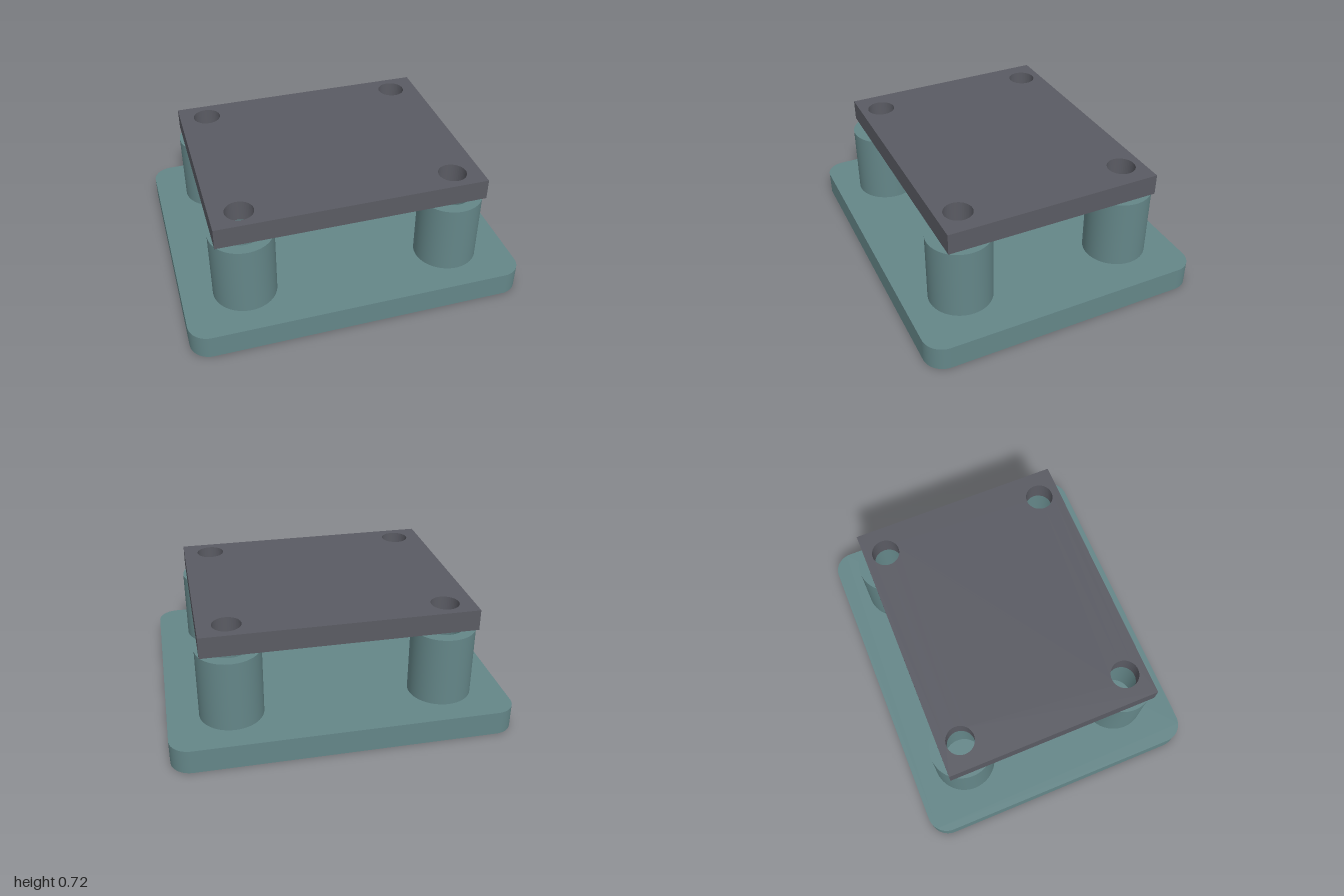
import * as THREE from 'three';

const POST_X = 0.627, POST_Z = 0.51;
const BASE_TOP = 0.145, POST_TOP = 0.573;
const PLATE_BOTTOM = 0.592, PLATE_TOP = 0.717;

// Rectangle outline centred on the origin, with optional rounded corners
function rectShape(hx, hz, r = 0) {
  const s = new THREE.Shape();
  if (r === 0) {
    return s.moveTo(-hx, -hz).lineTo(hx, -hz).lineTo(hx, hz).lineTo(-hx, hz).closePath();
  }
  s.absarc(hx - r, hz - r, r, 0, Math.PI / 2);
  s.absarc(-hx + r, hz - r, r, Math.PI / 2, Math.PI);
  s.absarc(-hx + r, -hz + r, r, Math.PI, Math.PI * 1.5);
  s.absarc(hx - r, -hz + r, r, Math.PI * 1.5, Math.PI * 2);
  return s.closePath();
}

// Flat slab extruded upward from y0 to y1
function slab(name, shape, y0, y1, material) {
  const geo = new THREE.ExtrudeGeometry(shape, { depth: y1 - y0, bevelEnabled: false, curveSegments: 24 });
  geo.rotateX(-Math.PI / 2).translate(0, y0, 0);
  const mesh = new THREE.Mesh(geo, material);
  mesh.name = name;
  return mesh;
}

// Post with a blind bore: separate walls and faces keep the rims sharp
function post(material) {
  const R = 0.188, BORE = 0.12, FLOOR = 0.2;
  const group = new THREE.Group();
  const sections = {
    outerWall: [[R, BASE_TOP], [R, POST_TOP]],
    topRim: [[R, POST_TOP], [BORE, POST_TOP]],
    boreWall: [[BORE, POST_TOP], [BORE, FLOOR]],
    boreFloor: [[BORE, FLOOR], [0, FLOOR]],
  };
  for (const [name, pts] of Object.entries(sections)) {
    const geo = new THREE.LatheGeometry(pts.map(([x, y]) => new THREE.Vector2(x, y)), 64);
    const mesh = new THREE.Mesh(geo, material);
    mesh.name = name;
    group.add(mesh);
  }
  return group;
}

export function createModel() {
  const teal = new THREE.MeshStandardMaterial({ color: 0x648688 });
  teal.name = 'muted teal';
  const grey = new THREE.MeshStandardMaterial({ color: 0x5a5b63 });
  grey.name = 'dark grey';

  const model = new THREE.Group();
  model.name = 'plateOnPosts';

  // Rounded base
  model.add(slab('base', rectShape(1, 0.845, 0.12), 0, BASE_TOP, teal));

  // Floating top plate with four screw holes above the posts
  const plate = rectShape(0.795, 0.64);
  for (const x of [-POST_X, POST_X]) {
    for (const z of [-POST_Z, POST_Z]) {
      plate.holes.push(new THREE.Path().absarc(x, -z, 0.083, 0, Math.PI * 2, true));

      const p = post(teal);
      p.name = (z > 0 ? 'front' : 'back') + (x > 0 ? 'Left' : 'Right') + 'Post';
      p.position.set(x, 0, z);
      model.add(p);
    }
  }
  model.add(slab('topPlate', plate, PLATE_BOTTOM, PLATE_TOP, grey));
  return model;
}
